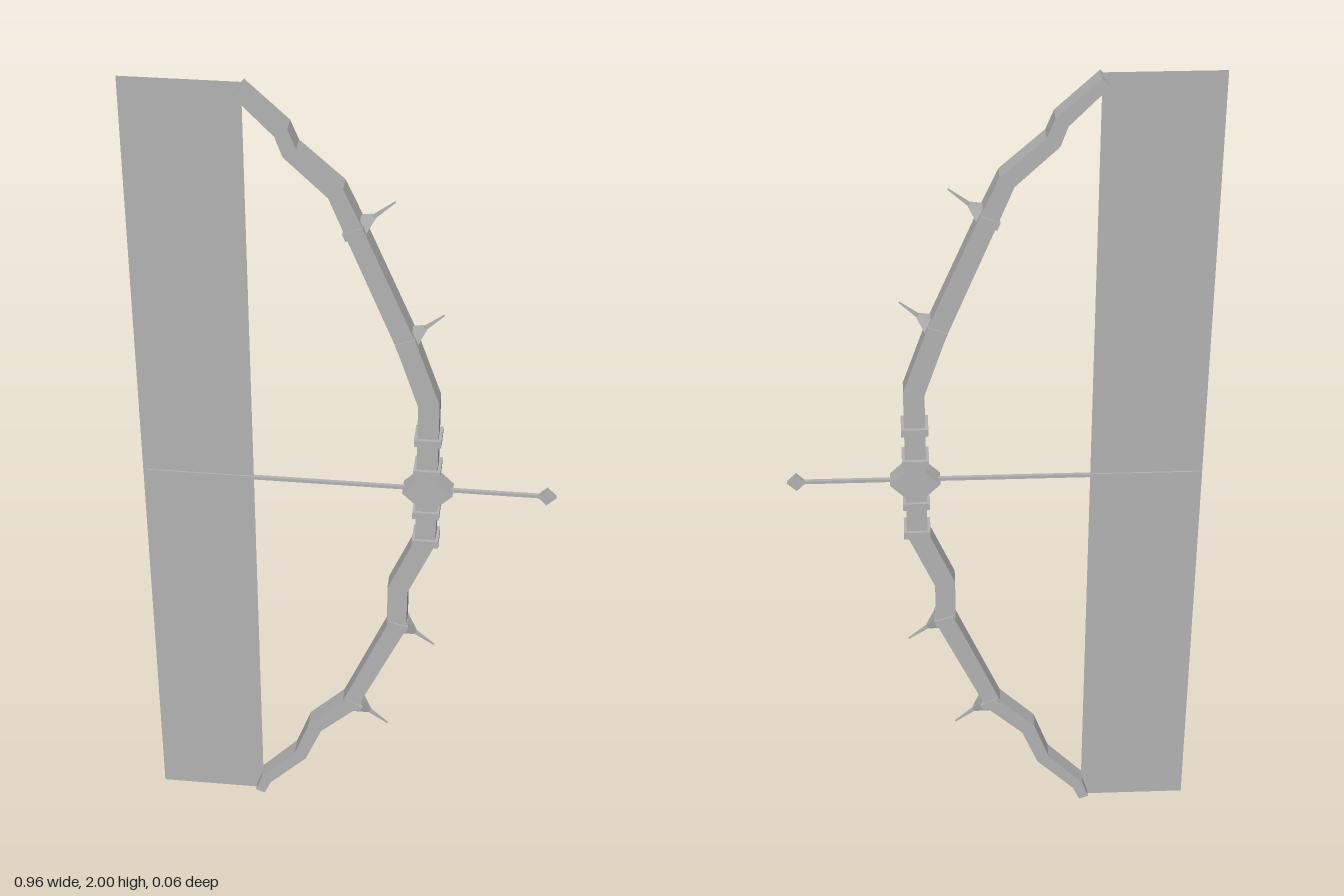
import * as THREE from 'three';

export function createModel() {
  const model = new THREE.Group();
  model.name = 'bow';
  const grey = new THREE.MeshStandardMaterial({ color: 0xb2b2b2, side: THREE.DoubleSide, flatShading: true });
  grey.name = 'plain grey';

  const add = (name, geometry, x, y, z = 0, turn = 0, parent = model) => {
    const mesh = new THREE.Mesh(geometry, grey);
    mesh.name = name;
    mesh.position.set(x, y, z);
    mesh.rotation.z = turn;
    parent.add(mesh);
    return mesh;
  };

  // Bow limbs: centre line [x, y, half width], mitred into one outline
  const path = [
    [-0.226, 1.987, 0.013], [-0.137, 1.9, 0.016], [-0.12, 1.855, 0.017], [-0.024, 1.766, 0.019],
    [0.013, 1.68, 0.021], [0.13, 1.4, 0.023], [0.183, 1.245, 0.024], [0.183, 0.86, 0.024],
    [0.12, 0.71, 0.024], [0.12, 0.595, 0.023], [0.005, 0.33, 0.02], [-0.082, 0.245, 0.018],
    [-0.12, 0.145, 0.016], [-0.21, 0.05, 0.014], [-0.226, 0.008, 0.012],
  ];
  const points = path.map(([x, y]) => new THREE.Vector2(x, y));
  const left = [], right = [];
  path.forEach(([, , w], i) => {
    const p = points[i];
    const into = p.clone().sub(points[Math.max(i - 1, 0)]).normalize();
    const out = points[Math.min(i + 1, points.length - 1)].clone().sub(p).normalize();
    const dir = into.clone().add(out).normalize();
    const cos = Math.max(dir.dot(i ? into : out), 0.5);
    const side = new THREE.Vector2(-dir.y, dir.x).multiplyScalar(w / cos);
    left.push(p.clone().add(side));
    right.unshift(p.clone().sub(side));
  });
  const limbs = new THREE.ExtrudeGeometry(new THREE.Shape([...left, ...right]), { depth: 0.046, bevelEnabled: false });
  add('limbs', limbs, 0, 0, -0.023);

  // Grip rings and the diamond at the centre
  for (const y of [1.146, 1.06, 0.942, 0.86]) {
    add('gripRing', new THREE.BoxGeometry(0.062, 0.018, 0.062), 0.183, y);
  }
  add('centreDiamond', new THREE.BoxGeometry(0.082, 0.082, 0.05), 0.185, 1, 0, Math.PI / 4);

  // Thorns: collar around the limb, stout root and thin needle
  const addThorn = (x, y, tipX, tipY, limbTurn) => {
    const thorn = new THREE.Group();
    thorn.name = 'thorn';
    thorn.position.set(x, y, 0);
    thorn.rotation.z = Math.atan2(tipY - y, tipX - x) - Math.PI / 2;
    const length = Math.hypot(tipX - x, tipY - y);
    const root = new THREE.CylinderGeometry(0.007, 0.026, 0.036, 4).rotateY(Math.PI / 4);
    add('thornRoot', root, 0, 0.034, 0, 0, thorn);
    const needle = new THREE.CylinderGeometry(0.002, 0.006, length - 0.045, 4).rotateY(Math.PI / 4);
    add('thornNeedle', needle, 0, (length + 0.045) / 2, 0, 0, thorn);
    model.add(thorn);
    add('thornCollar', new THREE.BoxGeometry(0.047, 0.018, 0.054), x, y, 0, limbTurn);
  };
  addThorn(0.015, 1.672, 0.1, 1.742, 0.39);
  addThorn(0.13, 1.402, 0.21, 1.47, 0.37);
  addThorn(0.122, 0.598, 0.21, 0.53, -0.3);
  addThorn(0.013, 0.332, 0.1, 0.26, -0.5);

  // Flat string sheet behind the bow
  add('stringSheet', new THREE.PlaneGeometry(0.26, 2), -0.35, 1);

  // Arrow
  add('arrowShaft', new THREE.BoxGeometry(0.92, 0.008, 0.008), -0.015, 1);
  add('arrowHead', new THREE.BoxGeometry(0.031, 0.031, 0.01), 0.458, 1, 0, Math.PI / 4);

  return model;
}
